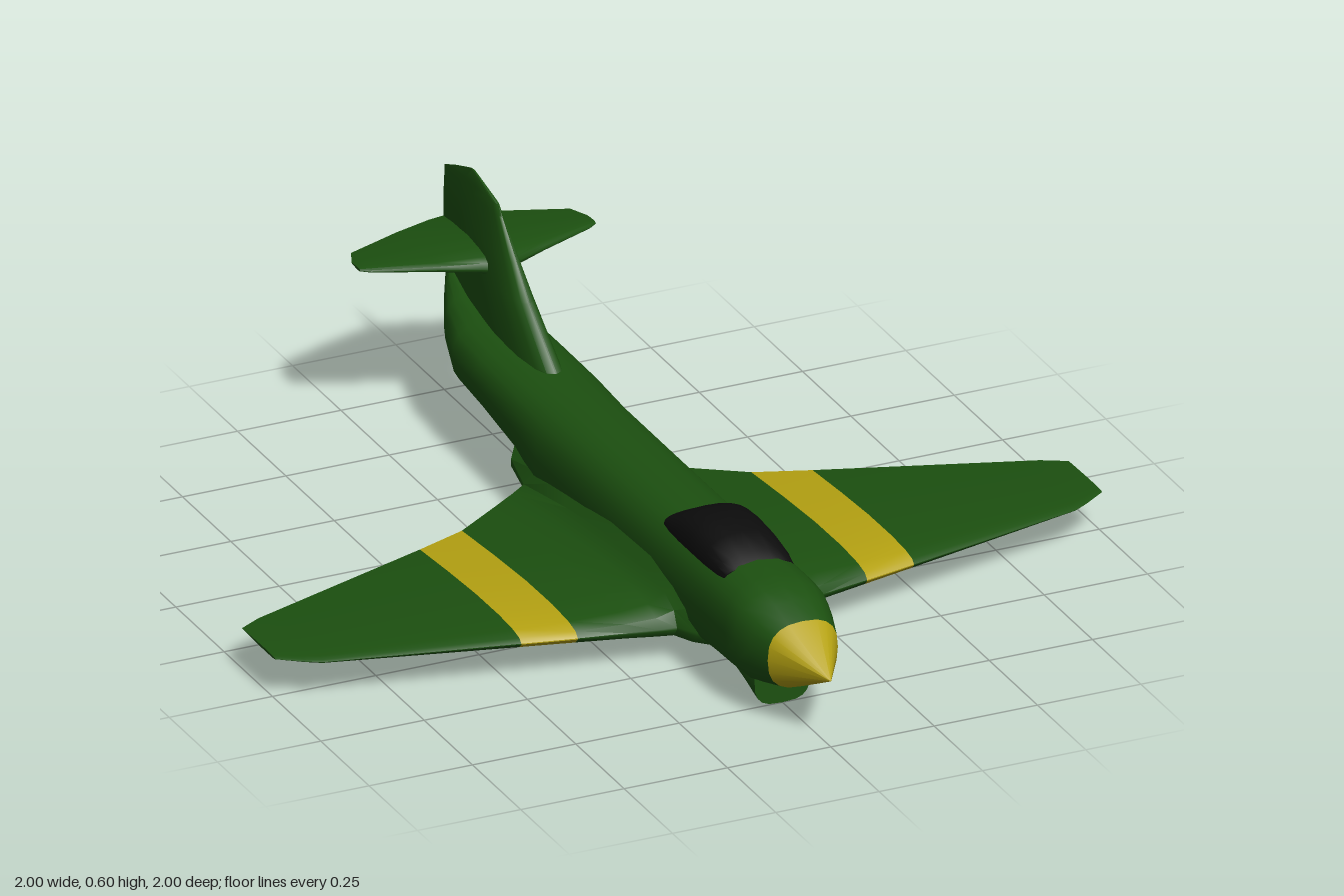
import * as THREE from 'three';
import { toCreasedNormals } from 'three/addons/utils/BufferGeometryUtils.js';

const paint = (color) => new THREE.MeshStandardMaterial({ color });
const green = paint(0x1c5010), yellow = paint(0xb5a212), black = paint(0x0c0c0c);

// Closed skin through equal-length rings of [x, y, z], capped at both ends and facing outward
function loft(rings, crease = 0.75) {
  const n = rings[0].length, pts = rings.flat(), tris = [];
  for (let i = 0; i < rings.length - 1; i++) {
    for (let j = 0; j < n; j++) {
      const a = i * n + j, b = i * n + (j + 1) % n;
      tris.push([a, b, b + n], [a, b + n, a + n]);
    }
  }
  [0, rings.length - 1].forEach((r, end) => {
    const c = pts.length;
    pts.push([0, 1, 2].map((k) => rings[r].reduce((s, p) => s + p[k], 0) / n));
    for (let j = 0; j < n; j++) {
      const a = r * n + j, b = r * n + (j + 1) % n;
      tris.push(end ? [a, b, c] : [b, a, c]);
    }
  });
  // the sign of the enclosed volume tells which way the faces point
  const v = pts.map((p) => new THREE.Vector3(...p));
  const volume = tris.reduce((s, [a, b, c]) => s + v[a].dot(v[b].clone().cross(v[c])), 0);
  if (volume < 0) tris.forEach((t) => t.reverse());
  const g = new THREE.BufferGeometry().setFromPoints(v);
  g.setIndex(tris.flat());
  return toCreasedNormals(g, crease);
}

// Rounded-box body section at z, with half width w
function bodyRing([z, w, bottom, top], power = 2.6, sides = 20) {
  const mid = (top + bottom) / 2, h = (top - bottom) / 2, ring = [];
  const round = (t) => Math.sign(t) * Math.abs(t) ** (2 / power);
  for (let i = 0; i < sides; i++) {
    const a = (i / sides) * Math.PI * 2;
    ring.push([w * round(Math.cos(a)), mid + h * round(Math.sin(a)), z]);
  }
  return ring;
}

// Aerofoil outline as [chord fraction, relative thickness]
const foil = [[0, 0.05], [0.02, 0.5], [0.08, 0.8], [0.22, 1], [0.45, 0.95], [0.72, 0.6], [1, 0.1]];

// Wing section at x: leading z, trailing z, chord-line y, upper y, lower y
function wingRing([x, lead, trail, y, top, bottom]) {
  const at = ([u, h], edge) => [x, y + h * (edge - y), lead + u * (trail - lead)];
  return [...foil.map((f) => at(f, top)), ...[...foil].reverse().map((f) => at(f, bottom))];
}

// Fin section at height y: leading z, trailing z, half thickness
function finRing([y, lead, trail, t]) {
  const at = ([u, h], s) => [s * h * t, y, lead + u * (trail - lead)];
  return [...foil.map((f) => at(f, 1)), ...[...foil].reverse().map((f) => at(f, -1))];
}

export function createModel() {
  const model = new THREE.Group();
  const add = (name, geometry, material, parent = model) => {
    const mesh = new THREE.Mesh(geometry, material);
    mesh.name = name;
    parent.add(mesh);
  };

  // Fuselage, nose to tail: z, half width, bottom, top
  add('fuselage', loft([
    [0.855, 0.085, 0.085, 0.243], [0.8, 0.102, 0.07, 0.268], [0.75, 0.115, 0.058, 0.284],
    [0.7, 0.117, 0.055, 0.29], [0.6, 0.117, 0.051, 0.29], [0.45, 0.117, 0.04, 0.29],
    [0.1, 0.117, 0.036, 0.29], [-0.28, 0.117, 0.04, 0.29], [-0.42, 0.116, 0.1, 0.29],
    [-0.6, 0.113, 0.128, 0.29], [-0.73, 0.107, 0.135, 0.295], [-0.84, 0.075, 0.165, 0.305],
    [-0.92, 0.038, 0.215, 0.32], [-0.972, 0.01, 0.25, 0.33],
  ].map((s) => bodyRing(s))), green);

  // Pointed nose cone
  add('noseCone', loft([[0.855, 0.085, 0.085, 0.243], [1, 0.001, 0.159, 0.161]]
    .map((s) => bodyRing(s))), yellow);

  // Air scoop under the chin
  add('chinScoop', loft([
    [0.75, 0.068, 0, 0.14], [0.735, 0.07, 0.008, 0.14], [0.7, 0.073, 0.027, 0.14],
    [0.66, 0.075, 0.042, 0.14], [0.56, 0.07, 0.053, 0.14],
  ].map((s) => bodyRing(s, 3.2))), green);

  // Canopy, its lower half sunk into the fuselage
  add('canopy', loft([
    [0.63, 0.084, 0.284], [0.6, 0.088, 0.302], [0.54, 0.09, 0.324], [0.46, 0.09, 0.332],
    [0.4, 0.09, 0.325], [0.35, 0.089, 0.305], [0.32, 0.086, 0.288],
  ].map(([z, w, top]) => bodyRing([z, w, 0.53 - top, top]))), black);

  // Wing panels, root to tip: x, leading z, trailing z, chord y, upper y, lower y
  const stripeIn = [0.35, 0.44, -0.16, 0.09, 0.117, 0.063];
  const stripeOut = [0.475, 0.415, -0.11, 0.092, 0.113, 0.069];
  const panels = [
    ['wingRoot', green, [
      [0.05, 0.58, -0.52, 0.085, 0.25, 0.036], [0.105, 0.53, -0.43, 0.088, 0.205, 0.04],
      [0.13, 0.482, -0.31, 0.088, 0.165, 0.044], [0.17, 0.475, -0.283, 0.088, 0.137, 0.048],
      [0.24, 0.461, -0.235, 0.089, 0.124, 0.055], stripeIn]],
    ['wingStripe', yellow, [stripeIn, stripeOut]],
    ['wingOuter', green, [stripeOut, [0.91, 0.322, 0.048, 0.096, 0.103, 0.088],
      [0.945, 0.302, 0.06, 0.096, 0.102, 0.09], [1, 0.265, 0.092, 0.097, 0.1, 0.094]]],
  ];
  // Tailplane halves in the same layout
  const tailplane = [
    [0, -0.7, -1, 0.42, 0.455, 0.395], [0.04, -0.72, -0.995, 0.42, 0.446, 0.4],
    [0.13, -0.757, -0.968, 0.421, 0.434, 0.41], [0.265, -0.81, -0.915, 0.422, 0.428, 0.417],
    [0.285, -0.825, -0.87, 0.422, 0.425, 0.419],
  ];
  for (const [side, s] of [['left', 1], ['right', -1]]) {
    const mirrored = (rows) => loft(rows.map(([x, ...rest]) => wingRing([s * x, ...rest])));
    const wing = new THREE.Group();
    wing.name = side + 'Wing';
    model.add(wing);
    for (const [name, material, rows] of panels) add(name, mirrored(rows), material, wing);
    add(side + 'Tailplane', mirrored(tailplane), green);
  }

  // Upright fin: y, leading z, trailing z, half thickness
  add('fin', loft([
    [0.25, -0.4, -0.972, 0.04], [0.29, -0.42, -0.978, 0.037], [0.4, -0.56, -0.997, 0.031],
    [0.47, -0.625, -1, 0.022], [0.55, -0.7, -0.995, 0.01], [0.572, -0.72, -0.94, 0.007],
    [0.6, -0.84, -0.86, 0.002],
  ].map(finRing)), green);

  return model;
}
